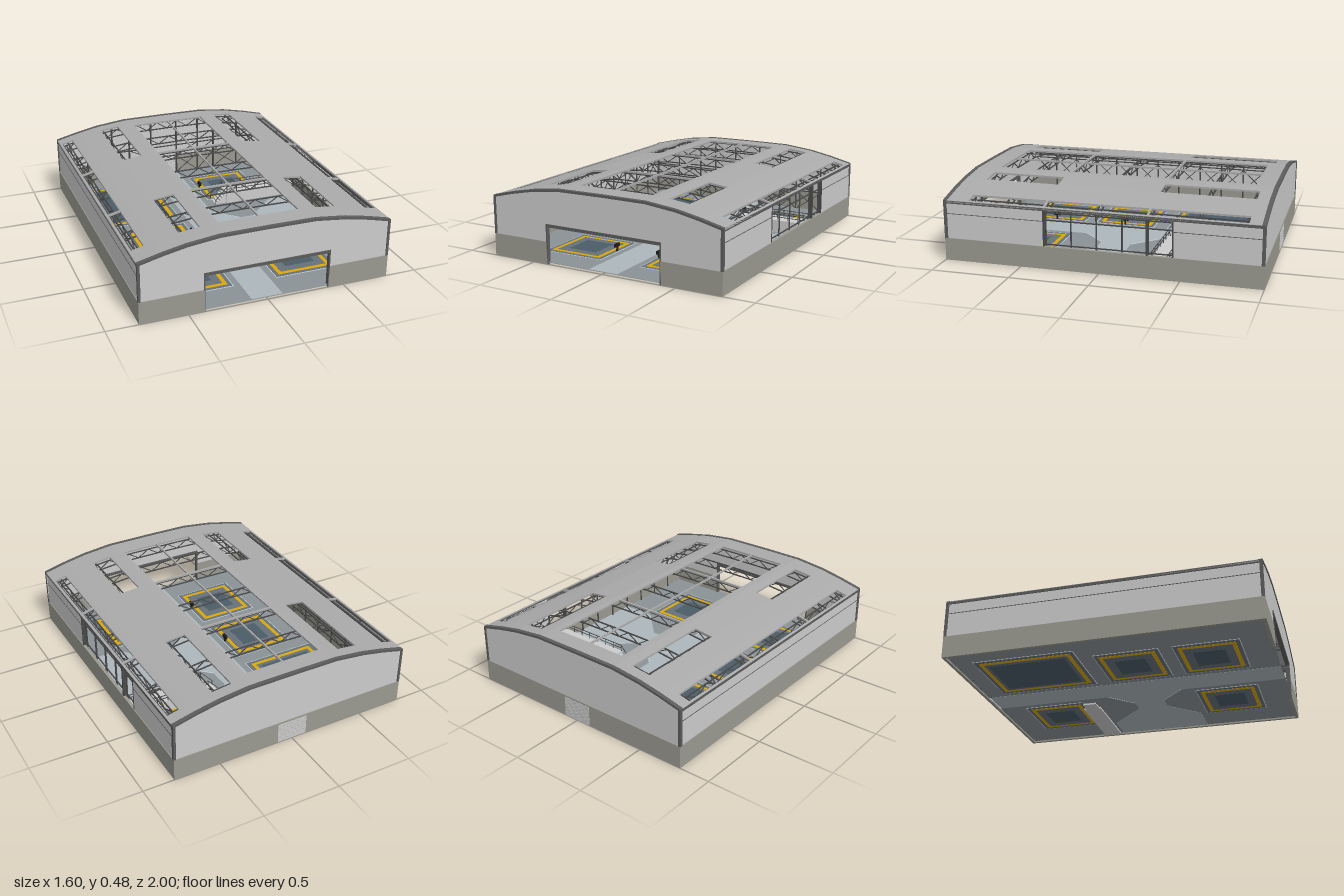
import * as THREE from 'three';
import { mergeGeometries } from 'three/addons/utils/BufferGeometryUtils.js';

const mat = (color) => new THREE.MeshStandardMaterial({ color, side: THREE.DoubleSide, flatShading: true });

// Roof line: height of the top surface at a given x
const PROFILE = [[0, 0.48], [0.3, 0.478], [0.5, 0.455], [0.65, 0.425], [0.8, 0.388]];
function roofY(x) {
  const a = Math.abs(x);
  for (let i = 1; i < PROFILE.length; i++) {
    const [x0, y0] = PROFILE[i - 1], [x1, y1] = PROFILE[i];
    if (a <= x1 + 1e-6) return y0 + (y1 - y0) * (a - x0) / (x1 - x0);
  }
  return 0.388;
}

// Box given by its two corners
function block(x0, x1, y0, y1, z0, z1) {
  return new THREE.BoxGeometry(x1 - x0, y1 - y0, z1 - z0)
    .translate((x0 + x1) / 2, (y0 + y1) / 2, (z0 + z1) / 2);
}

// Square bar between two points
function bar(a, b, w = 0.007) {
  const p = new THREE.Vector3(...a), q = new THREE.Vector3(...b);
  const g = new THREE.BoxGeometry(w, w, p.distanceTo(q));
  const m = new THREE.Matrix4().lookAt(q, p, new THREE.Vector3(0.01, 1, 0.02));
  return g.applyMatrix4(m).translate((p.x + q.x) / 2, (p.y + q.y) / 2, (p.z + q.z) / 2);
}

// Slab that follows the roof line
function roofSlab(x0, x1, z0, z1, thick = 0.012, lift = 0) {
  const g = block(x0, x1, -thick, 0, z0, z1), p = g.attributes.position;
  for (let i = 0; i < p.count; i++) p.setY(i, p.getY(i) + roofY(p.getX(i)) + lift);
  return g;
}

export function createModel() {
  const root = new THREE.Group();
  const wallM = mat(0xcccccc), bandM = mat(0x9a9990), roofM = mat(0xaaaaaa), trimM = mat(0x5c5c5c);
  const steelM = mat(0x4a4a4a), floorM = mat(0x8a9296), laneM = mat(0xadb7bc), lineM = mat(0xc4ced2);
  const slateM = mat(0x66717a), wellM = mat(0x4b5c68), yellowM = mat(0xdaa70c), blackM = mat(0x1c1c1c);
  const add = (name, geos, material, parent = root) => {
    const list = Array.isArray(geos) ? geos : [geos];
    const mesh = new THREE.Mesh(list.length > 1 ? mergeGeometries(list) : list[0], material);
    mesh.name = name;
    parent.add(mesh);
    return mesh;
  };

  // Floor and driving lane; markings straddle the floor so they show on both faces
  const FY = 0.012;
  const mark = (x0, x1, z0, z1, h) => block(x0, x1, FY - h, FY + h, z0, z1);
  const flat = (pts, h) => new THREE.ExtrudeGeometry(
    new THREE.Shape(pts.map(([x, z]) => new THREE.Vector2(x, -z))), { depth: 2 * h, bevelEnabled: false })
    .rotateX(-Math.PI / 2).translate(0, FY - h, 0);
  add('floor', mark(-0.785, 0.785, -0.985, 0.995, 0.001), floorM);
  add('lane', flat([[-0.1, -0.98], [0.1, -0.98], [0.1, -0.2], [0.25, -0.05], [0.35, -0.05], [0.58, -0.28],
    [0.78, -0.28], [0.78, 0.35], [0.55, 0.35], [0.35, 0.15], [0.25, 0.15], [0.1, 0.3], [0.1, 0.99], [-0.1, 0.99]], 0.002), laneM);
  add('laneLines', [[0.1, -0.2, 0.25, -0.05], [0.25, 0.15, 0.1, 0.3]]
    .map(([a, b, c, d]) => bar([a, FY, b], [c, FY, d], 0.007)), lineM);

  // Marked bays with a sunken dark centre and a control post beside the lane
  const bays = [[-0.35, 0.6, 0.36, 0.36], [0.35, 0.6, 0.36, 0.36], [0.35, -0.6, 0.36, 0.36],
    [-0.35, 0.1, 0.36, 0.36], [-0.4, -0.53, 0.46, 0.6]];
  for (const [x, z, w, d] of bays) {
    const bay = new THREE.Group();
    bay.name = 'bay';
    const layer = (name, grow, h, m) =>
      add(name, mark(x - w / 2 - grow, x + w / 2 + grow, z - d / 2 - grow, z + d / 2 + grow, h), m, bay);
    layer('outline', 0.029, 0.003, lineM);
    layer('apron', 0.023, 0.004, slateM);
    layer('yellowFrame', 0, 0.005, yellowM);
    layer('innerApron', -0.026, 0.006, slateM);
    layer('darkCentre', w > 0.4 ? -0.05 : -0.08, 0.007, wellM);
    const s = Math.sign(x), px = x - s * (w / 2 + 0.015);
    add('controlPost', [bar([px, FY, z], [px - s * 0.004, 0.05, z], 0.01),
      block(px - 0.007, px + 0.007, 0.045, 0.065, z - 0.025, z + 0.025)], blackM, bay);
    root.add(bay);
  }

  // Side walls: heavy base band with a lighter upper wall
  for (const s of [-1, 1]) {
    const side = (a, b, y0, y1, z0, z1) => block(Math.min(s * a, s * b), Math.max(s * a, s * b), y0, y1, z0, z1);
    const side_ = s > 0 ? 'left' : 'right';
    add(side_ + 'BaseBand', side(0.78, 0.8, 0, 0.143, -1, 1), bandM);
    const wall = s > 0
      ? [side(0.78, 0.795, 0.143, 0.38, 0.35, 0.98), side(0.78, 0.795, 0.143, 0.38, -0.98, -0.455),
        side(0.78, 0.795, 0.367, 0.38, -0.455, 0.35)]
      : [side(0.78, 0.795, 0.143, 0.38, -0.98, 0.98)];
    add(side_ + 'UpperWall', wall, wallM);
    const seams = s > 0 ? [[0.35, 0.98], [-0.98, -0.455]] : [[-0.98, 0.98]];
    add(side_ + 'WallSeam', seams.map(([a, b]) => side(0.79, 0.797, 0.3, 0.304, a, b)), trimM);
    add(side_ + 'Eave', side(0.78, 0.8, 0.368, 0.386, -0.99, 0.99), trimM);
    add(side_ + 'CornerPosts', [-1, 1].map((e) => side(0.785, 0.801, 0.143, 0.388, e * 0.99 - 0.01, e * 0.99 + 0.01)), trimM);

    // Cross bracing behind the side wall
    const brace = [], bx = s * 0.77;
    for (let i = 0; i < 12; i++) {
      const z0 = -0.94 + i * 0.16, z1 = z0 + 0.16;
      brace.push(bar([bx, 0.01, z0], [bx, 0.37, z0], 0.009));
      if (s > 0 && z1 > -0.44 && z0 < 0.34) continue;
      brace.push(bar([bx, 0.15, z0], [bx, 0.3, z1], 0.005), bar([bx, 0.3, z0], [bx, 0.15, z1], 0.005));
    }
    for (const y of [0.15, 0.303, 0.365]) brace.push(bar([bx, y, -0.97], [bx, y, 0.97]));
    add(side_ + 'WallBracing', brace, steelM);
  }
  add('sideOpeningFrame', [block(0.775, 0.797, 0.143, 0.37, 0.343, 0.352), block(0.775, 0.797, 0.143, 0.37, -0.46, -0.451),
    block(0.775, 0.797, 0.143, 0.37, -0.304, -0.292)], steelM);

  // End walls, the front one with the wide doorway
  const roofLine = PROFILE.slice().reverse().map(([x, y]) => [x, y - 0.012])
    .concat(PROFILE.slice(1).map(([x, y]) => [-x, y - 0.012]));
  const upper = (door) => {
    const low = door ? [[-0.8, 0.143], [-0.4, 0.143], [-0.4, 0.25], [0.4, 0.25], [0.4, 0.143], [0.8, 0.143]]
      : [[-0.8, 0.143], [0.8, 0.143]];
    return new THREE.ExtrudeGeometry(new THREE.Shape([...low, ...roofLine].map((p) => new THREE.Vector2(...p))),
      { depth: 0.015, bevelEnabled: false });
  };
  add('frontUpperWall', upper(true).translate(0, 0, 0.98), wallM);
  add('backUpperWall', upper(false).translate(0, 0, -0.995), wallM);
  add('frontBaseBand', [block(-0.8, -0.4, 0, 0.143, 0.98, 1), block(0.4, 0.8, 0, 0.143, 0.98, 1)], bandM);
  add('backBaseBand', block(-0.8, 0.8, 0, 0.143, -1, -0.98), bandM);
  add('doorFrame', [block(-0.404, 0.404, 0.235, 0.254, 0.972, 1), block(-0.404, -0.396, 0, 0.25, 0.972, 1),
    block(0.396, 0.404, 0, 0.25, 0.972, 1)], trimM);

  // Slatted shutter in the back wall
  const slats = [];
  for (let i = 0; i < 7; i++) slats.push(block(-0.1, 0.1, i * 0.019 + 0.002, i * 0.019 + 0.018, -1.001, -0.995));
  for (let i = 0; i < 5; i++) slats.push(block(-0.1, 0.1, i * 0.046 + 0.002, i * 0.046 + 0.042, -0.98, -0.972));
  add('backShutter', slats, wallM);

  // Cross bracing on the back wall
  const back = [], bz = -0.965, posts = [-0.78, -0.59, -0.4, -0.27, -0.1, 0.1, 0.27, 0.4, 0.59, 0.78];
  posts.forEach((x, i) => {
    back.push(bar([x, 0.01, bz], [x, roofY(x) - 0.02, bz], 0.009));
    const n = posts[i + 1];
    if (n === undefined || x === -0.1) return;
    back.push(bar([x, 0.01, bz], [n, 0.145, bz], 0.005), bar([x, 0.145, bz], [n, 0.01, bz], 0.005));
    back.push(x < 0 ? bar([x, 0.235, bz], [n, 0.155, bz], 0.005) : bar([x, 0.155, bz], [n, 0.235, bz], 0.005));
  });
  for (const y of [0.15, 0.235]) back.push(bar([-0.78, y, bz], [0.78, y, bz]));
  add('backWallBracing', back, steelM);

  // Roof in lengthwise strips, leaving skylight openings
  const full = [[-0.99, 0.99]];
  const sky = [[-0.99, -0.9], [-0.307, 0.355], [0.835, 0.99]];
  const slot = [[-0.99, -0.9], [-0.307, -0.295], [0.34, 0.352], [0.835, 0.99]];
  const centre = [[-0.99, -0.86], [-0.307, -0.295], [0.34, 0.352], [0.835, 0.99]];
  const strips = [[0, 0.005, full], [0.005, 0.255, centre], [0.255, 0.3, full], [0.3, 0.37, full], [0.37, 0.5, sky],
    [0.5, 0.65, full], [0.65, 0.71, full], [0.71, 0.785, slot], [0.785, 0.8, full]];
  const roof = [], rims = [];
  for (const [a, b, spans] of strips) for (const [x0, x1] of [[a, b], [-b, -a]]) {
    for (const [z0, z1] of spans) roof.push(roofSlab(x0, x1, z0, z1));
    rims.push(roofSlab(x0, x1, 0.975, 1, 0.015, 0.002), roofSlab(x0, x1, -1, -0.975, 0.015, 0.002));
  }
  add('roof', roof, roofM);
  add('roofRims', rims, trimM);

  // Roof trusses across the hall
  for (const z of [-0.88, -0.6, -0.3, 0.02, 0.345, 0.6, 0.82]) {
    const t = [], n = 20;
    const low = (x) => roofY(x) - 0.065, top = (x) => roofY(x) - 0.016;
    for (let i = 0; i < n; i++) {
      const x0 = -0.77 + 1.54 * i / n, x1 = -0.77 + 1.54 * (i + 1) / n;
      t.push(bar([x0, low(x0), z], [x1, low(x1), z]), bar([x0, top(x0), z], [x1, top(x1), z]));
      t.push(i % 2 ? bar([x0, top(x0), z], [x1, low(x1), z], 0.005) : bar([x0, low(x0), z], [x1, top(x1), z], 0.005));
    }
    add('crossTruss', t, steelM);
  }

  // Trusses along the hall
  for (const x of [-0.74, -0.475, 0.475, 0.74]) {
    const t = [], y1 = roofY(x) - 0.016, y0 = y1 - 0.045, step = 0.0975;
    for (const y of [y0, y1]) t.push(bar([x, y, -0.97], [x, y, 0.98]));
    for (let i = 0; i < 20; i++) {
      const z = -0.97 + i * step;
      t.push(bar([x, i % 2 ? y1 : y0, z], [x, i % 2 ? y0 : y1, z + step], 0.005));
    }
    add('longTruss', t, steelM);
  }

  // Raised platform with steps and railing by the side opening
  add('platform', block(0.25, 0.775, 0, 0.095, -0.42, -0.3), wallM);
  add('steps', [0, 1, 2, 3, 4].map((i) => block(0.17 + i * 0.016, 0.186 + i * 0.016, 0, 0.016 * (i + 1), -0.4, -0.31)), wallM);
  const rail = [];
  for (const z of [-0.415, -0.305]) {
    for (let x = 0.255; x < 0.78; x += 0.0725) rail.push(bar([x, 0.095, z], [x, 0.138, z], 0.004));
    for (const y of [0.118, 0.138]) rail.push(bar([0.255, y, z], [0.77, y, z], 0.004));
    rail.push(bar([0.17, 0.045, z], [0.255, 0.138, z], 0.004), bar([0.17, 0, z], [0.17, 0.045, z], 0.004));
  }
  add('platformRailing', rail, steelM);
  return root;
}
